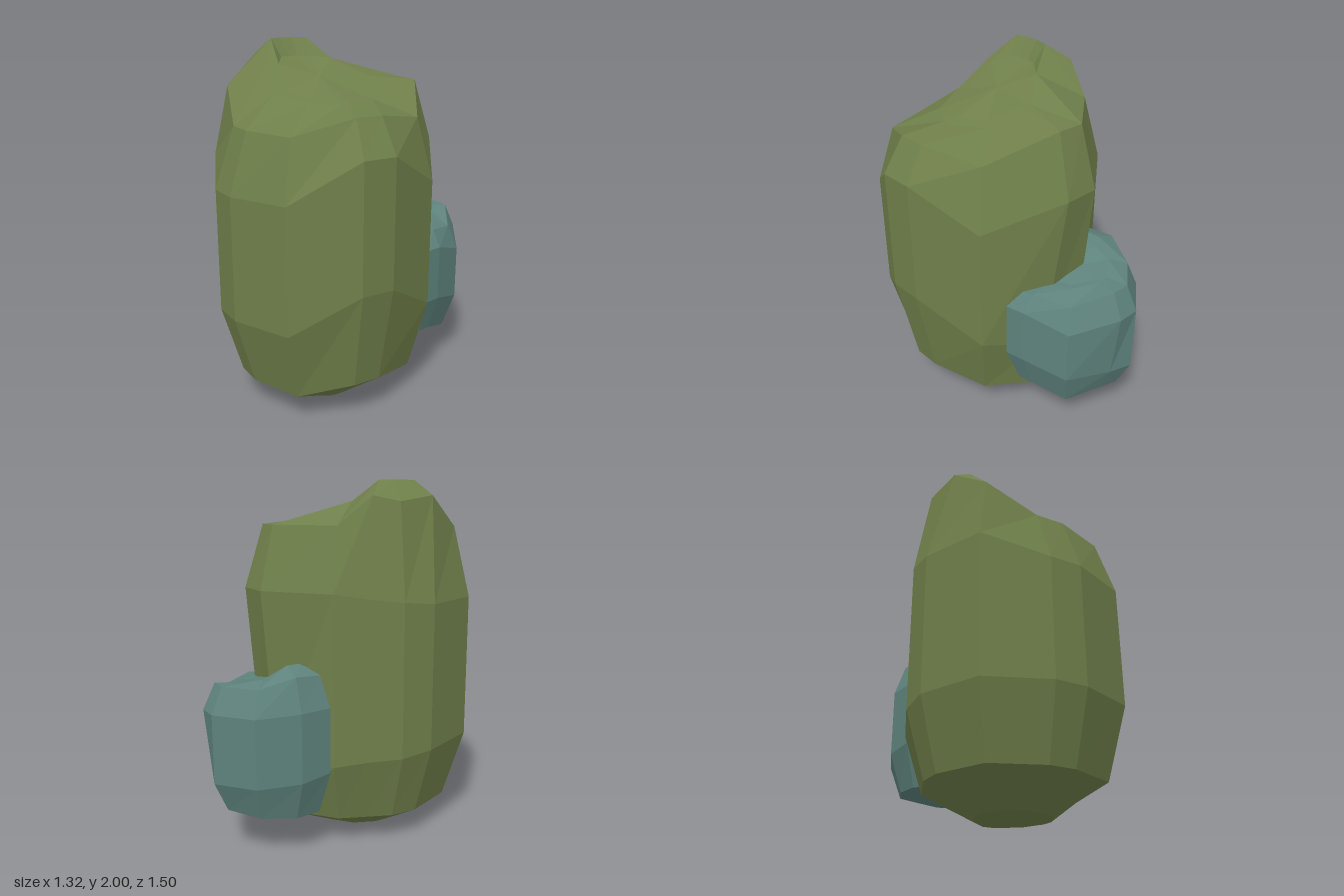
import * as THREE from 'three';

// Flat-shaded closed skin over rings of [x, y, z], listed bottom to top, each
// running counterclockwise seen from above; both ends close on their middle.
function loft(rings) {
  const pos = [];
  const n = rings[0].length;
  const middle = (r) => [0, 1, 2].map((k) => r.reduce((s, p) => s + p[k], 0) / n);
  const tri = (a, b, c) => pos.push(...a, ...b, ...c);
  const low = rings[0], high = rings[rings.length - 1];
  const lowMid = middle(low), highMid = middle(high);
  for (let i = 0; i < n; i++) {
    const j = (i + 1) % n;
    tri(lowMid, low[j], low[i]);
    tri(highMid, high[i], high[j]);
    for (let r = 0; r < rings.length - 1; r++) {
      const a = rings[r], b = rings[r + 1];
      tri(a[i], a[j], b[j]);
      tri(a[i], b[j], b[i]);
    }
  }
  const g = new THREE.BufferGeometry();
  g.setAttribute('position', new THREE.Float32BufferAttribute(pos, 3));
  g.computeVertexNormals();
  return g;
}

// Ring made by scaling an [x, z] outline about a centre; heights may be one value or a list
function ring(outline, [cx, cz], scale, heights, dx = 0, dz = 0) {
  return outline.map(([x, z], i) => [
    cx + (x - cx) * scale + dx,
    Array.isArray(heights) ? heights[i] : heights,
    cz + (z - cz) * scale + dz,
  ]);
}

function largeRock() {
  const outline = [[0.01, 0.745], [0.36, 0.6], [0.48, 0.45], [0.585, 0.07], [0.47, -0.36], [0.32, -0.485],
    [-0.09, -0.49], [-0.255, -0.405], [-0.42, -0.32], [-0.545, -0.18], [-0.66, 0.18], [-0.49, 0.51], [-0.345, 0.63]];
  // The back corner leans inwards lower down
  const lower = outline.slice();
  lower[4] = [0.45, -0.25];
  lower[5] = [0.28, -0.42];
  const c = [0, 0];
  // Uneven rim, high at the back
  const shoulder = [[0, 1.57, 0.645], [0.29, 1.66, 0.51], [0.385, 1.66, 0.39], [0.49, 1.61, 0.065],
    [0.385, 1.77, -0.3], [0.28, 1.77, -0.4], [-0.08, 1.77, -0.4], [-0.24, 1.92, -0.31], [-0.37, 1.89, -0.25],
    [-0.49, 1.92, -0.05], [-0.565, 1.75, 0.18], [-0.415, 1.57, 0.42], [-0.29, 1.57, 0.53]];
  const lip = [[0, 1.7, 0.37], [0.15, 1.69, 0.32], [0.19, 1.69, 0.28], [0.24, 1.7, 0.08],
    [0.19, 1.79, -0.13], [0.15, 1.8, -0.14], [-0.07, 1.89, -0.14], [-0.23, 2, -0.17], [-0.3, 2, -0.12],
    [-0.345, 2, -0.06], [-0.375, 2, 0], [-0.335, 1.89, 0.14], [-0.23, 1.73, 0.31]];
  // Sloping floor just inside the lip
  const floor = lip.map(([x, y, z]) => [
    -0.03 + (x + 0.03) * 0.8, 1.79 + (Math.min(y, 1.93) - 1.79) * 0.8, 0.1 + (z - 0.1) * 0.8,
  ]);
  return loft([
    ring(outline, c, 0.35, 0, -0.03, 0.085),
    ring(outline, c, 0.82, [0.16, 0.22, 0.22, 0.16, 0.16, 0.16, 0.16, 0.16, 0.16, 0.16, 0.16, 0.16, 0.16], 0, 0.02),
    ring(lower, c, 1, [0.56, 0.77, 0.77, 0.56, 0.5, 0.5, 0.5, 0.52, 0.53, 0.55, 0.55, 0.55, 0.55]),
    ring(outline, c, 1, [1.25, 1.47, 1.47, 1.27, 1.43, 1.43, 1.43, 1.4, 1.38, 1.36, 1.36, 1.24, 1.24]),
    shoulder, lip, floor,
  ]);
}

function smallRock() {
  const outline = [[0.3, -0.06], [0.55, -0.06], [0.6, -0.155], [0.66, -0.4], [0.585, -0.665],
    [0.49, -0.745], [0.24, -0.75], [0.03, -0.64], [-0.07, -0.49], [0.02, -0.2]];
  const lower = outline.slice();
  lower[4] = [0.56, -0.635];
  const c = [0.3, -0.4];
  return loft([
    ring(outline, c, 0.38, 0.2, 0, 0.03),
    ring(lower, c, 0.8, [0.27, 0.28, 0.28, 0.22, 0.26, 0.26, 0.24, 0.23, 0.23, 0.25]),
    ring(lower, c, 1, [0.5, 0.5, 0.5, 0.43, 0.43, 0.43, 0.43, 0.45, 0.47, 0.5]),
    ring(outline, c, 1, [0.82, 0.82, 0.82, 0.74, 0.81, 0.81, 0.81, 0.83, 0.83, 0.82]),
    ring(outline, c, 0.83, [0.9, 0.9, 0.91, 0.88, 0.95, 0.95, 0.95, 1.01, 1.0, 0.9]),
    ring(outline, c, 0.52, [0.92, 0.92, 0.92, 0.92, 0.94, 0.95, 0.98, 1.05, 1.05, 0.97]),
    ring(outline, c, 0.42, [0.92, 0.92, 0.92, 0.92, 0.94, 0.95, 0.97, 1.01, 1.01, 0.96]),
  ]);
}

export function createModel() {
  const model = new THREE.Group();
  model.name = 'rocks';
  const mossGreen = new THREE.MeshStandardMaterial({ color: 0x6f7f4a });
  mossGreen.name = 'moss green';
  const slateTeal = new THREE.MeshStandardMaterial({ color: 0x5e827c });
  slateTeal.name = 'slate teal';
  const parts = [['largeRock', largeRock(), mossGreen], ['smallRock', smallRock(), slateTeal]];
  for (const [name, geometry, material] of parts) {
    const mesh = new THREE.Mesh(geometry, material);
    mesh.name = name;
    model.add(mesh);
  }
  return model;
}
